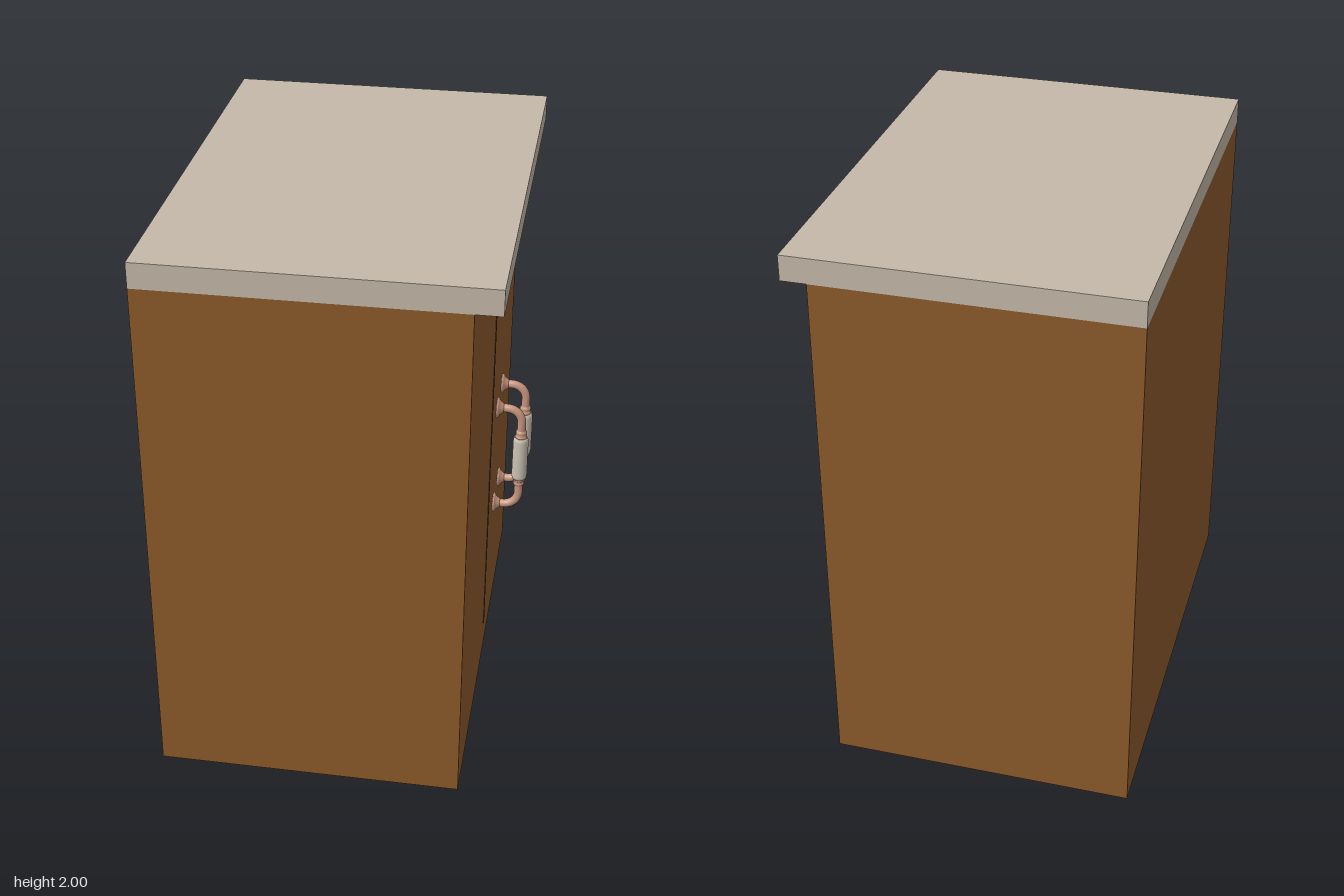
import * as THREE from 'three';

const material = (name, color) => {
  const m = new THREE.MeshStandardMaterial({ color });
  m.name = name;
  return m;
};

export function createModel() {
  const wood = material('brown wood', 0x8b5a2b);
  const stone = material('beige stone', 0xc4b8a8);
  const dark = material('dark seam', 0x4a3524);
  const copper = material('copper', 0xc8967e);
  const ceramic = material('ceramic', 0xcbc2b2);

  const model = new THREE.Group();
  model.name = 'cabinet';

  const add = (parent, name, geometry, mat, x = 0, y = 0, z = 0) => {
    const mesh = new THREE.Mesh(geometry, mat);
    mesh.name = name;
    mesh.position.set(x, y, z);
    parent.add(mesh);
    return mesh;
  };
  const lathe = (points) =>
    new THREE.LatheGeometry(points.map(([r, y]) => new THREE.Vector2(r, y)), 24);

  // Cabinet body, overhanging worktop and the seam between the doors
  add(model, 'body', new THREE.BoxGeometry(1.085, 1.91, 1.66), wood, -0.0725, 0.955, 0);
  add(model, 'worktop', new THREE.BoxGeometry(1.175, 0.09, 1.66), stone, -0.0275, 1.955, 0);
  add(model, 'doorSeam', new THREE.BoxGeometry(0.004, 1.665, 0.009), dark, 0.471, 0.9575, 0.005);

  // Handle parts: bent arm, wall rosette, beaded collar and ceramic grip
  const arm = new THREE.CurvePath();
  const v = (x, y) => new THREE.Vector3(x, y, 0);
  arm.add(new THREE.LineCurve3(v(0.495, 0.204), v(0.53, 0.204)));
  arm.add(new THREE.CubicBezierCurve3(v(0.53, 0.204), v(0.562, 0.204), v(0.585, 0.18), v(0.585, 0.148)));
  arm.add(new THREE.LineCurve3(v(0.585, 0.148), v(0.585, 0.085)));
  const armGeometry = new THREE.TubeGeometry(arm, 32, 0.0155, 16);
  const rosette = lathe([[0, 0], [0.036, 0], [0.037, 0.006], [0.033, 0.01],
    [0.026, 0.013], [0.021, 0.02], [0.0155, 0.027]]);
  const collar = lathe([[0.0155, 0.085], [0.022, 0.088], [0.022, 0.094], [0.017, 0.099],
    [0.02, 0.105], [0.02, 0.111], [0.0155, 0.117]]);
  const grip = lathe([[0, -0.088], [0.022, -0.088], [0.026, -0.083], [0.028, -0.072],
    [0.028, 0.072], [0.026, 0.083], [0.022, 0.088], [0, 0.088]]);

  for (const [side, z] of [['left', 0.092], ['right', -0.085]]) {
    const handle = new THREE.Group();
    handle.name = `${side}Handle`;
    handle.position.set(0, 0.957, z);
    add(handle, 'grip', grip, ceramic, 0.585);
    // The lower half is the upper half turned over about the x axis
    for (const [end, turn] of [['upper', 0], ['lower', Math.PI]]) {
      const half = new THREE.Group();
      half.name = `${end}Half`;
      half.rotation.x = turn;
      add(half, 'arm', armGeometry, copper);
      add(half, 'rosette', rosette, copper, 0.492, 0.204).rotation.z = -Math.PI / 2;
      add(half, 'collar', collar, copper, 0.585);
      handle.add(half);
    }
    model.add(handle);
  }
  return model;
}
